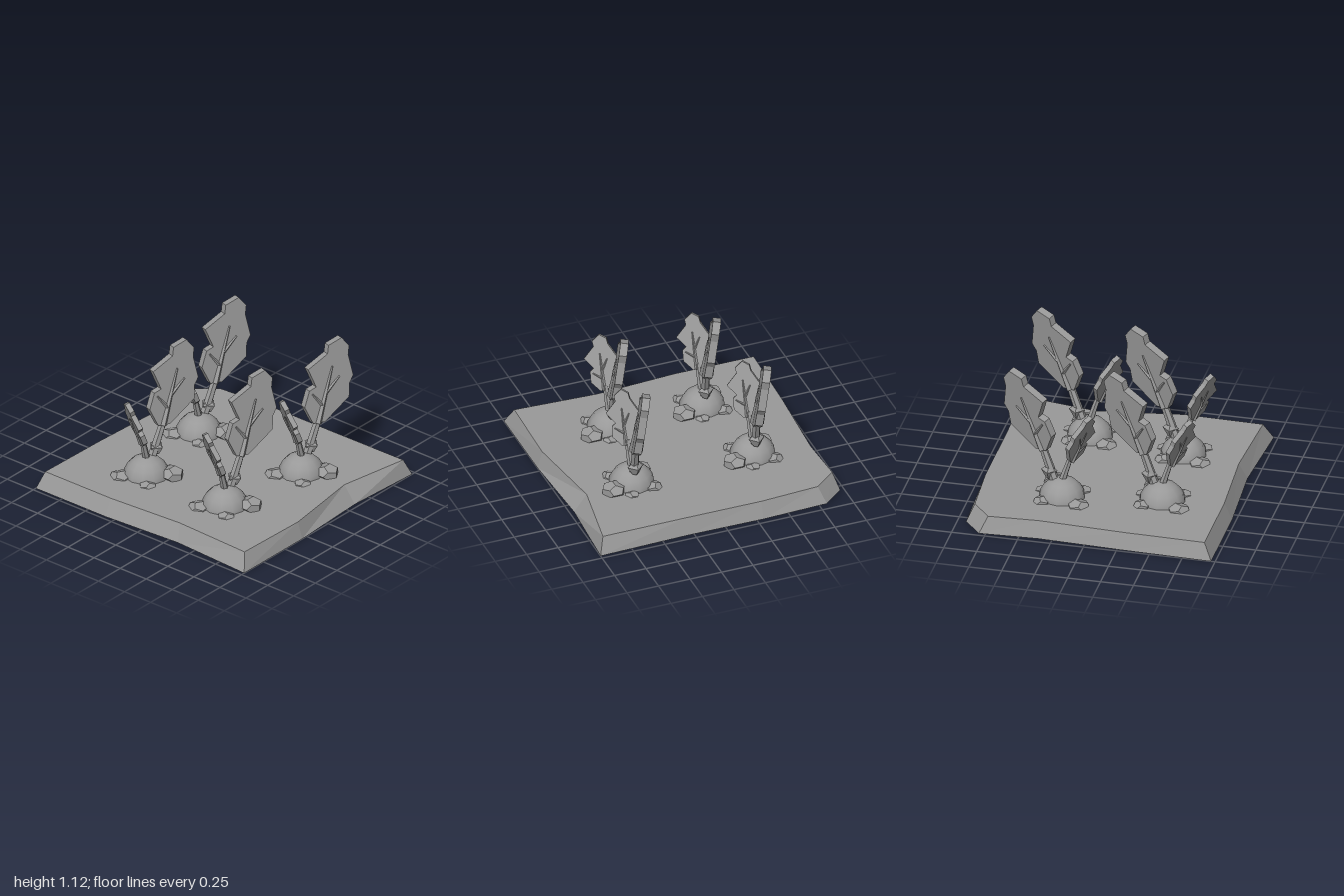
import * as THREE from 'three';

const flat = new THREE.MeshStandardMaterial({ color: 0x999999, flatShading: true, side: THREE.DoubleSide });
const smooth = new THREE.MeshStandardMaterial({ color: 0x999999, side: THREE.DoubleSide });

function add(parent, name, geometry, material = flat) {
  const mesh = new THREE.Mesh(geometry, material);
  mesh.name = name;
  parent.add(mesh);
  return mesh;
}

// Tapered rod between two points
function rod(parent, name, a, b, r1, r2, sides = 6) {
  const p = new THREE.Vector3(...a), q = new THREE.Vector3(...b);
  const dir = q.clone().sub(p);
  const mesh = add(parent, name, new THREE.CylinderGeometry(r2, r1, dir.length(), sides));
  mesh.position.copy(p).add(q).multiplyScalar(0.5);
  mesh.quaternion.setFromUnitVectors(new THREE.Vector3(0, 1, 0), dir.normalize());
}

// Soil bed: sloped sides and a slightly sunken top, open underneath
function soilBed() {
  const base = [[-0.97, -1], [-0.3, -0.98], [0.36, -0.95], [0.8, -0.97], [0.935, -0.81], [0.955, -0.3],
    [0.95, 0.3], [0.97, 1], [0.35, 0.965], [-0.3, 1], [-0.97, 1], [-0.93, 0.33], [-0.97, -0.33]];
  const rim = [[-0.91, -0.96], [-0.3, -0.945], [0.36, -0.91], [0.74, -0.93], [0.88, -0.76], [0.91, -0.3],
    [0.91, 0.3], [0.915, 0.96], [0.35, 0.865], [-0.3, 0.96], [-0.9, 0.945], [-0.87, 0.3], [-0.91, -0.33]];
  const v = [], n = base.length;
  const low = i => [base[i % n][0], 0, base[i % n][1]];
  const top = i => [rim[i % n][0], 0.13, rim[i % n][1]];
  for (let i = 0; i < n; i++) {
    v.push(...low(i), ...top(i), ...low(i + 1));
    v.push(...low(i + 1), ...top(i), ...top(i + 1));
    v.push(0, 0.122, 0, ...top(i + 1), ...top(i));
  }
  const g = new THREE.BufferGeometry();
  g.setAttribute('position', new THREE.Float32BufferAttribute(v, 3));
  g.computeVertexNormals();
  return g;
}

// Upright lobed leaf with ribs on both faces; base at the origin, tip along +y
function leaf(name) {
  const group = new THREE.Group();
  group.name = name;
  const blade = new THREE.Group();
  blade.name = 'leafBody';
  blade.rotation.z = 0.335;
  group.add(blade);
  group.scale.x = 1.08;
  const outline = [[0.04, 0], [0.245, 0.15], [0.26, 0.255], [0.295, 0.31], [0.275, 0.48], [0.29, 0.55],
    [0.24, 0.625], [0.135, 0.59], [0.12, 0.525], [-0.04, 0.44], [0.005, 0.29], [-0.05, 0.27],
    [-0.1, 0.15], [-0.05, 0.01]];
  const shape = new THREE.Shape(outline.map(p => new THREE.Vector2(...p)));
  const geometry = new THREE.ExtrudeGeometry(shape, { depth: 0.06, bevelEnabled: false });
  add(blade, 'leafBlade', geometry.translate(0, 0, -0.03));
  for (const z of [-0.03, 0.03]) {
    rod(blade, 'midrib', [-0.01, 0, z], [0.145, 0.42, z], 0.022, 0.006, 4);
    rod(blade, 'sideVein', [0.04, 0.13, z], [-0.03, 0.24, z], 0.014, 0.006, 4);
    rod(blade, 'sideVein', [0.08, 0.23, z], [0.19, 0.33, z], 0.014, 0.006, 4);
  }
  return group;
}

// Stones around the bulb, most of them nearly buried: x, z, radius, top height
const stones = [[0.085, 0.175, 0.095, 0.205], [-0.13, 0.12, 0.07, 0.155], [-0.15, -0.12, 0.09, 0.165],
  [0.12, -0.12, 0.07, 0.165], [0.16, 0.06, 0.06, 0.15], [-0.02, -0.18, 0.055, 0.125],
  [-0.18, 0.0, 0.055, 0.125], [-0.04, 0.17, 0.055, 0.125], [0.18, -0.03, 0.055, 0.125]];

function plant(x, z) {
  const group = new THREE.Group();
  group.name = 'plant';
  group.position.set(x, 0, z);

  // Bulb dome
  const bulb = add(group, 'bulb', new THREE.SphereGeometry(0.175, 12, 5, 0, Math.PI * 2, 0, Math.PI / 2), smooth);
  bulb.position.y = 0.105;

  stones.forEach(([sx, sz, r, h], i) => {
    const stone = add(group, 'stone', new THREE.DodecahedronGeometry(r));
    stone.scale.y = 0.6;
    stone.position.set(sx, h - r * 0.56, sz);
    stone.rotation.y = i * 1.3;
  });

  // Tall stalk with its collar and leaf, the leaf twisted about its own leaning axis
  rod(group, 'tallStalk', [0.04, 0.2, 0], [0.16, 0.52, 0.03], 0.037, 0.028);
  const collar = new THREE.LatheGeometry([[0.025, -0.06], [0.062, 0.005], [0.025, 0.035]]
    .map(p => new THREE.Vector2(...p)), 4);
  add(group, 'collar', collar).position.set(0.1, 0.32, 0.01);
  const tall = leaf('tallLeaf');
  tall.position.set(0.155, 0.49, 0.03);
  tall.rotation.set(0, -0.42, -0.335, 'ZYX');
  group.add(tall);

  // Short stalk and leaf, turned mostly sideways and leaning out
  rod(group, 'shortStalk', [0.01, 0.22, 0], [-0.065, 0.46, 0.01], 0.03, 0.02);
  const short = leaf('shortLeaf');
  short.scale.multiplyScalar(0.63);
  short.position.set(-0.06, 0.42, 0.01);
  short.rotation.set(0, 1.1, 0.4, 'ZYX');
  group.add(short);
  return group;
}

export function createModel() {
  const model = new THREE.Group();
  model.name = 'plantBed';
  add(model, 'soilBed', soilBed());
  for (const [x, z] of [[-0.45, -0.37], [0.285, -0.48], [-0.435, 0.37], [0.305, 0.49]]) model.add(plant(x, z));
  return model;
}
